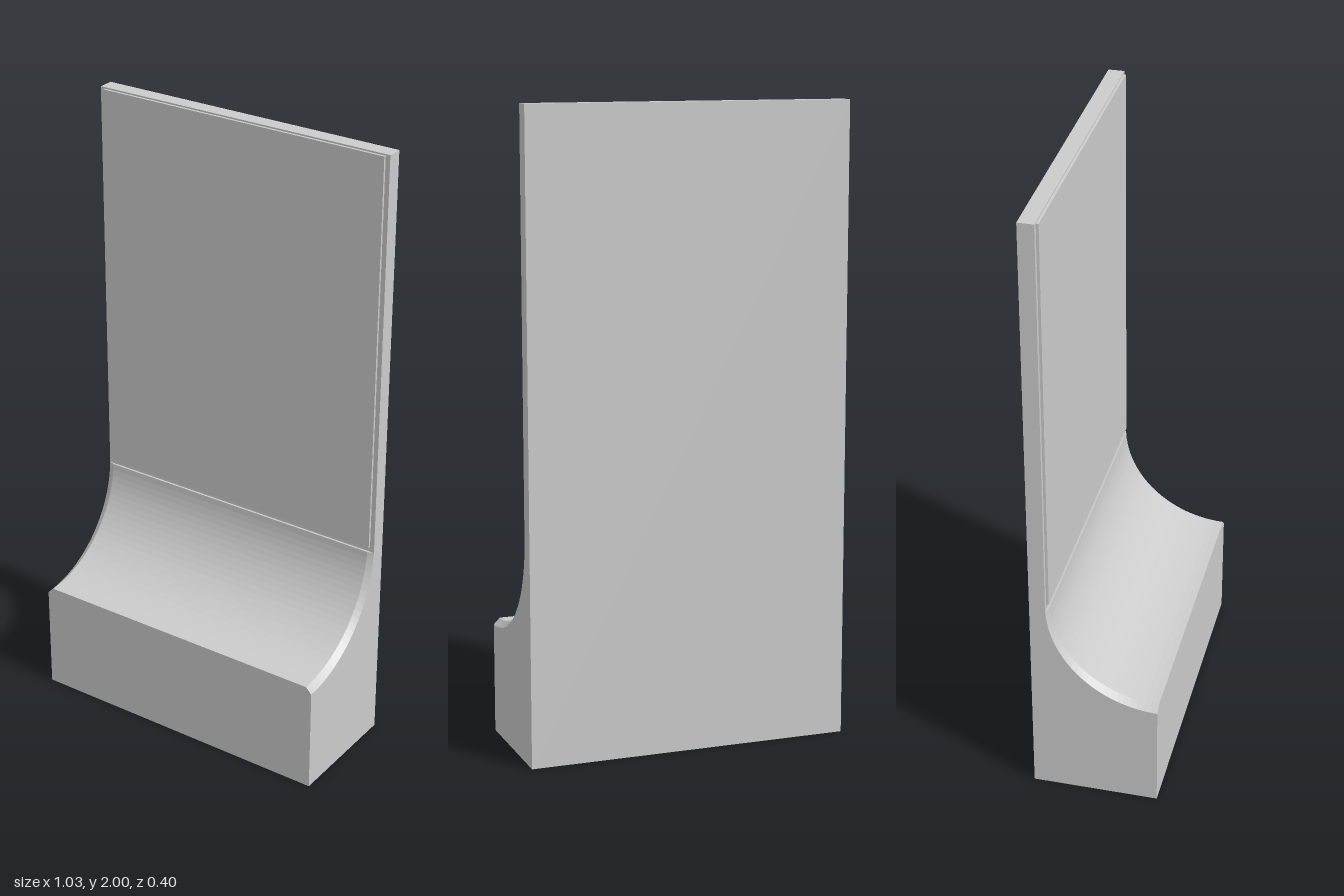
import * as THREE from 'three';

const WIDTH = 1.03, SEGMENTS = 24;
const CENTER = { z: 0.2, y: 0.7 }, RADIUS = 0.35; // axis of the concave sweep

const material = new THREE.MeshStandardMaterial({ color: 0xcccccc, flatShading: true });

function addPart(group, name, geometry) {
  const mesh = new THREE.Mesh(geometry, material);
  mesh.name = name;
  group.add(mesh);
  return mesh;
}

// Side profile (z, y) of base, sweep and upright, extruded across x
function bodyGeometry() {
  const s = new THREE.Shape();
  s.moveTo(-0.2, 0);
  s.lineTo(0.2, 0);
  s.lineTo(CENTER.z, CENTER.y - RADIUS);
  s.absarc(CENTER.z, CENTER.y, RADIUS, -Math.PI / 2, -Math.PI, true);
  s.lineTo(-0.15, 2);
  s.lineTo(-0.2, 2);
  s.closePath();
  const g = new THREE.ExtrudeGeometry(s, { depth: WIDTH, bevelEnabled: false, curveSegments: SEGMENTS });
  return g.translate(0, 0, -WIDTH / 2).rotateY(-Math.PI / 2);
}

// Thin facing with bevelled ends: a cross-section [x, lift] swept along the arc
function sweepGeometry() {
  const section = [[-0.515, 0], [-0.505, 0.5], [-0.495, 1], [0.495, 1], [0.505, 0.5], [0.515, 0]];
  const n = section.length, endAngle = 1.525;
  const pos = [], idx = [];
  for (let i = 0; i <= SEGMENTS; i++) {
    const a = (i / SEGMENTS) * endAngle;
    for (const [x, lift] of section) {
      const rz = RADIUS - 0.008 * lift, ry = RADIUS - 0.02 * lift;
      pos.push(x, CENTER.y - ry * Math.cos(a), CENTER.z - rz * Math.sin(a));
    }
  }
  for (let i = 0; i < SEGMENTS; i++) {
    for (let j = 0; j < n - 1; j++) {
      const p = i * n + j;
      idx.push(p, p + 1, p + n, p + 1, p + n + 1, p + n);
    }
  }
  // Front and upper end caps
  const top = SEGMENTS * n;
  for (let j = 1; j < n - 1; j++) {
    idx.push(0, j + 1, j, top, top + j, top + j + 1);
  }
  const g = new THREE.BufferGeometry();
  g.setAttribute('position', new THREE.Float32BufferAttribute(pos, 3));
  g.setIndex(idx);
  g.computeVertexNormals();
  return g;
}

export function createModel() {
  const model = new THREE.Group();
  model.name = 'uprightPanelStand';

  addPart(model, 'body', bodyGeometry());
  addPart(model, 'curvedFacing', sweepGeometry());

  // Shallow raised panel on the front of the upright
  addPart(model, 'frontPanel', new THREE.BoxGeometry(1, 1.295, 0.012)).position.set(0, 1.3475, -0.148);

  return model;
}
